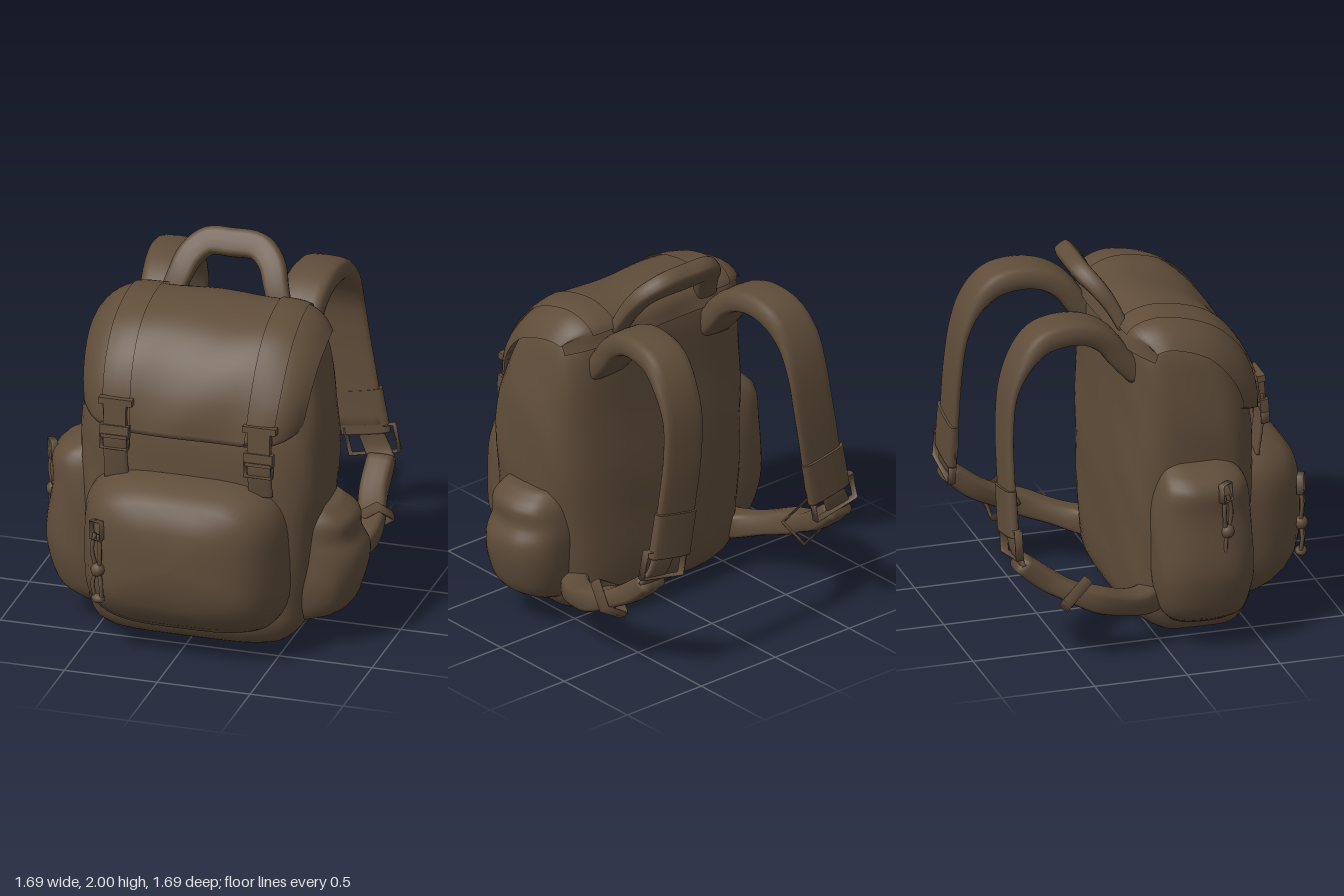
import * as THREE from 'three';

const V = (x, y, z) => new THREE.Vector3(x, y, z);
const canvas = new THREE.MeshStandardMaterial({ color: 0x604d3a, side: THREE.DoubleSide });
canvas.name = 'brownCanvas';

const superPoint = (a, n) => [Math.cos(a), Math.sin(a)].map(v => Math.sign(v) * Math.abs(v) ** (2 / n));

// Skin over rows of points
function skin(rows, closed = true) {
  const n = rows[0].length, pos = [], idx = [];
  rows.forEach(r => r.forEach(p => pos.push(p.x, p.y, p.z)));
  for (let j = 0; j < rows.length - 1; j++) {
    for (let i = 0; i < (closed ? n : n - 1); i++) {
      const a = j * n + i, b = j * n + (i + 1) % n;
      idx.push(a, b, a + n, b, b + n, a + n);
    }
  }
  const g = new THREE.BufferGeometry();
  g.setAttribute('position', new THREE.Float32BufferAttribute(pos, 3));
  g.setIndex(idx);
  g.computeVertexNormals();
  return g;
}

// Upright soft volume from sections [y, xMin, xMax, zMin, zMax]
function loft(sections, n, wrinkle, steps = 40, seg = 48) {
  const lo = new THREE.CatmullRomCurve3(sections.map(s => V(s[1], s[0], s[3])), false, 'catmullrom');
  const hi = new THREE.CatmullRomCurve3(sections.map(s => V(s[2], s[0], s[4])), false, 'catmullrom');
  const rows = [];
  for (let j = 0; j <= steps; j++) {
    const a = lo.getPoint(j / steps), b = hi.getPoint(j / steps);
    const row = [];
    for (let i = 0; i < seg; i++) {
      const t = i / seg * Math.PI * 2, [c, s] = superPoint(t, n);
      const k = 1 + wrinkle * Math.sin(a.y * 9 + 3 * t) * Math.sin(t * 5 + a.y * 4);
      row.push(V((a.x + b.x) / 2 + c * k * (b.x - a.x) / 2, a.y, (a.z + b.z) / 2 - s * k * (b.z - a.z) / 2));
    }
    rows.push(row);
  }
  const cap = r => {
    const m = r.reduce((q, p) => q.add(p), V(0, 0, 0)).divideScalar(r.length);
    return r.map(() => m);
  };
  return skin([cap(rows[0]), ...rows, cap(rows[steps])]);
}

// Band swept along a path; width lies along ref, w and h are full sizes or functions of t
function sweep(points, w, h, ref = V(1, 0, 0), steps = 30, n = 3.5, seg = 16) {
  const curve = new THREE.CatmullRomCurve3(points.map(p => V(...p)));
  const val = (f, t) => typeof f === 'function' ? f(t) : f;
  const rows = [];
  for (let j = 0; j <= steps; j++) {
    const t = j / steps, c = curve.getPoint(t), T = curve.getTangent(t);
    const W = ref.clone().addScaledVector(T, -ref.dot(T)).normalize(), N = T.clone().cross(W);
    const ring = [];
    for (let i = 0; i < seg; i++) {
      const [a, b] = superPoint(i / seg * Math.PI * 2, n);
      ring.push(c.clone().addScaledVector(W, a * val(w, t) / 2).addScaledVector(N, b * val(h, t) / 2));
    }
    if (j === 0) rows.push(ring.map(() => c));
    rows.push(ring);
    if (j === steps) rows.push(ring.map(() => c));
  }
  return skin(rows);
}

// Rectangular ring for buckles
function ringFrame(w, h, tube = 0.018) {
  return new THREE.TorusGeometry(Math.SQRT1_2, tube * 2.5, 6, 4).rotateZ(Math.PI / 4).scale(w, h, 0.6);
}

// Flap surface: u across (-1..1), t from back seam to front hem
const flapPath = new THREE.CatmullRomCurve3([[-0.17, 1.62], [-0.13, 1.72], [0.0, 1.775], [0.18, 1.755], [0.33, 1.69],
  [0.45, 1.57], [0.53, 1.43], [0.57, 1.3], [0.585, 1.19]].map(([z, y]) => V(0, y, z)));
function flapPoint(u, t, off = 0) {
  const e = Math.abs(u) ** 7, tt = t * (1 - 0.11 * e);
  const p = flapPath.getPoint(tt), T = flapPath.getTangent(tt);
  const half = 0.585 + 0.04 * Math.sin(Math.PI * t);
  const d = off - 0.14 * e + 0.006 * Math.sin(u * 7 + t * 9);
  return V(0.02 + u * half, p.y + T.z * d, p.z - T.y * d);
}
function flapSheet(u0, u1, t0, t1, off, nu, nt) {
  const row = (t, o) => Array.from({ length: nu + 1 }, (_, i) => flapPoint(u1 + (u0 - u1) * i / nu, t, o));
  const rows = Array.from({ length: nt + 1 }, (_, j) => row(t0 + (t1 - t0) * j / nt, off));
  rows.push(row(t1, off - 0.03), row(t1 - 0.02, off - 0.07));
  return skin(rows, false);
}

export function createModel() {
  const model = new THREE.Group();
  model.name = 'backpack';
  const add = (name, geo, pos, rot, parent = model) => {
    const m = new THREE.Mesh(geo, canvas);
    m.name = name;
    if (pos) m.position.set(...pos);
    if (rot) m.rotation.set(...rot);
    parent.add(m);
    return m;
  };

  // Main bag
  add('body', loft([[0, -0.33, 0.38, 0.1, 0.38], [0.04, -0.5, 0.5, -0.03, 0.48], [0.14, -0.56, 0.59, -0.13, 0.54],
    [0.3, -0.59, 0.62, -0.16, 0.55], [0.6, -0.61, 0.66, -0.165, 0.56], [0.9, -0.61, 0.69, -0.17, 0.56],
    [1.2, -0.61, 0.68, -0.16, 0.54], [1.45, -0.59, 0.64, -0.16, 0.46], [1.6, -0.56, 0.6, -0.15, 0.36],
    [1.69, -0.5, 0.53, -0.12, 0.23], [1.74, -0.36, 0.4, -0.06, 0.13]], 3.9, 0.012));
  add('flap', flapSheet(-1, 1, 0, 1, 0, 48, 36));

  // Front pocket: stacked rounded outlines that shrink toward the front, most at the bottom
  const outline = [[1.03, 0.42], [1.02, 0.55], [0.98, 0.63], [0.91, 0.71], [0.82, 0.77], [0.7, 0.81], [0.5, 0.838], [0.25, 0.846], [0, 0.848]];
  add('frontPocket', skin(outline.map(([s, z]) => Array.from({ length: 48 }, (_, i) => {
    const [a, b] = superPoint(i / 48 * Math.PI * 2, 3.8);
    return V(0.01 + a * s ** 1.2 * 0.53, 0.55 + b * s ** (b < 0 ? 1.8 : 1) * 0.42, z);
  }))));

  // Side pockets
  add('leftPocket', loft([[0.12, 0.4, 0.6, 0.05, 0.32], [0.2, 0.4, 0.78, -0.02, 0.38], [0.35, 0.4, 0.85, -0.06, 0.41],
    [0.5, 0.4, 0.87, -0.07, 0.4], [0.6, 0.4, 0.825, -0.06, 0.39], [0.7, 0.4, 0.82, -0.04, 0.38], [0.78, 0.4, 0.72, 0, 0.34]], 2.4, 0.015, 24));
  add('rightPocket', loft([[0.12, -0.62, -0.4, 0.05, 0.38], [0.2, -0.74, -0.4, -0.01, 0.43], [0.35, -0.8, -0.4, -0.05, 0.46],
    [0.5, -0.82, -0.4, -0.06, 0.46], [0.75, -0.79, -0.4, -0.06, 0.45], [0.92, -0.78, -0.4, -0.03, 0.42], [1.01, -0.62, -0.4, 0.02, 0.34]], 2.5, 0.015, 24));

  // Grab handle
  add('grabHandle', sweep([[-0.28, 1.66, -0.12], [-0.24, 1.77, -0.17], [-0.2, 1.86, -0.23], [-0.12, 1.92, -0.285], [0, 1.925, -0.29], [0.15, 1.92, -0.285],
    [0.235, 1.86, -0.23], [0.275, 1.77, -0.17], [0.315, 1.66, -0.12]], t => 0.06 + 0.045 * Math.sin(Math.PI * t),
  t => 0.12 + 0.03 * Math.sin(Math.PI * t), V(0, 0.55, 0.83), 40));

  // Flap webbing and buckles
  for (const [x, y] of [[-0.355, 1.24], [0.42, 1.18]]) {
    const u = (x - 0.02) / 0.6;
    add('flapWebbing', flapSheet(u - 0.125, u + 0.125, 0.08, 0.985, 0.01, 4, 36));
    add('lowerWebbing', sweep([[x, y + 0.02, 0.585], [x, y - 0.12, 0.585], [x, 0.92, 0.56]], 0.13, 0.03));
    const buckle = new THREE.Group();
    buckle.name = 'flapBuckle';
    buckle.position.set(x, y, 0.585);
    buckle.rotation.x = -0.07;
    model.add(buckle);
    add('topBar', new THREE.BoxGeometry(0.18, 0.035, 0.045), [0, 0.115, -0.005], null, buckle);
    add('clip', new THREE.BoxGeometry(0.12, 0.14, 0.035), [0, 0.04, 0], null, buckle);
    add('socket', new THREE.BoxGeometry(0.155, 0.07, 0.045), [0, -0.045, 0.005], null, buckle);
    add('lowerFrame', ringFrame(0.145, 0.08), [0, -0.1, 0.005], null, buckle);
  }

  // Shoulder straps
  for (const s of [-1, 1]) {
    const X = x => s * x + 0.02;
    const side = s < 0 ? 'right' : 'left';
    add(side + 'ShoulderStrap', sweep([[X(0.36), 1.46, -0.09], [X(0.365), 1.56, -0.18], [X(0.37), 1.65, -0.25], [X(0.38), 1.715, -0.35],
      [X(0.39), 1.735, -0.47], [X(0.4), 1.705, -0.61], [X(0.415), 1.6, -0.715], [X(0.42), 1.45, -0.78], [X(0.44), 1.25, -0.805],
      [X(0.48), 1.0, -0.81], [X(0.52), 0.75, -0.805]], 0.25, t => 0.13 - 0.085 * THREE.MathUtils.smoothstep(t, 0.45, 0.75), V(1, 0, 0), 48));
    add(side + 'StrapPatch', sweep([[X(0.495), 0.94, -0.815], [X(0.54), 0.7, -0.815]], 0.27, 0.06));
    add(side + 'StrapBuckle', ringFrame(0.27, 0.15, 0.016), [X(0.575), 0.67, -0.81], [0, 0, s * 0.2]);
    add(side + 'StrapWebbing', sweep([[X(0.55), 0.76, -0.8], [X(0.6), 0.64, -0.8], [X(0.65), 0.55, -0.77]], 0.14, 0.03));
    add(side + 'LowerStrap', sweep([[X(0.46), 0.25, 0.02], [X(0.56), 0.245, -0.1], [X(0.63), 0.28, -0.24], [X(0.67), 0.33, -0.38],
      [X(0.665), 0.38, -0.5], [X(0.635), 0.46, -0.64], [X(0.63), 0.58, -0.79]], 0.15, t => 0.14 - 0.04 * t + 0.01 * Math.sin(t * 16)));
    add(side + 'StrapAdjuster', ringFrame(0.18, 0.16, 0.022), [X(0.665), 0.37, -0.49], [0.75, s * 0.5, s * 0.3]);
  }

  // Knotted pull cords
  const pull = (name, x, y, z, lean, turn) => {
    const g = new THREE.Group();
    g.name = name;
    g.position.set(x, y, z);
    g.rotation.set(0, turn, lean);
    model.add(g);
    add('pullRing', ringFrame(0.065, 0.1, 0.014), [0, -0.05, 0], null, g);
    for (const s of [-1, 1]) {
      add('cord', sweep([[s * 0.012, -0.07, 0], [s * 0.026, -0.16, 0.01], [s * 0.012, -0.26, 0]], 0.022, 0.022, V(1, 0, 0), 10, 2, 8), null, null, g);
      add('cordTail', sweep([[s * 0.008, -0.27, 0], [s * 0.028, -0.35, 0.01], [s * 0.022, -0.43, 0]], 0.022, 0.022, V(1, 0, 0), 10, 2, 8), null, null, g);
    }
    add('knot', new THREE.SphereGeometry(0.038, 12, 8), [0, -0.27, 0], null, g);
    add('endKnot', new THREE.SphereGeometry(0.032, 12, 8).scale(1.2, 0.8, 1), [0, -0.43, 0], null, g);
  };
  pull('frontPocketPull', -0.39, 0.77, 0.8, 0.03, -0.4);
  pull('sidePocketPull', -0.79, 0.95, 0.27, 0.05, -1);

  return model;
}
